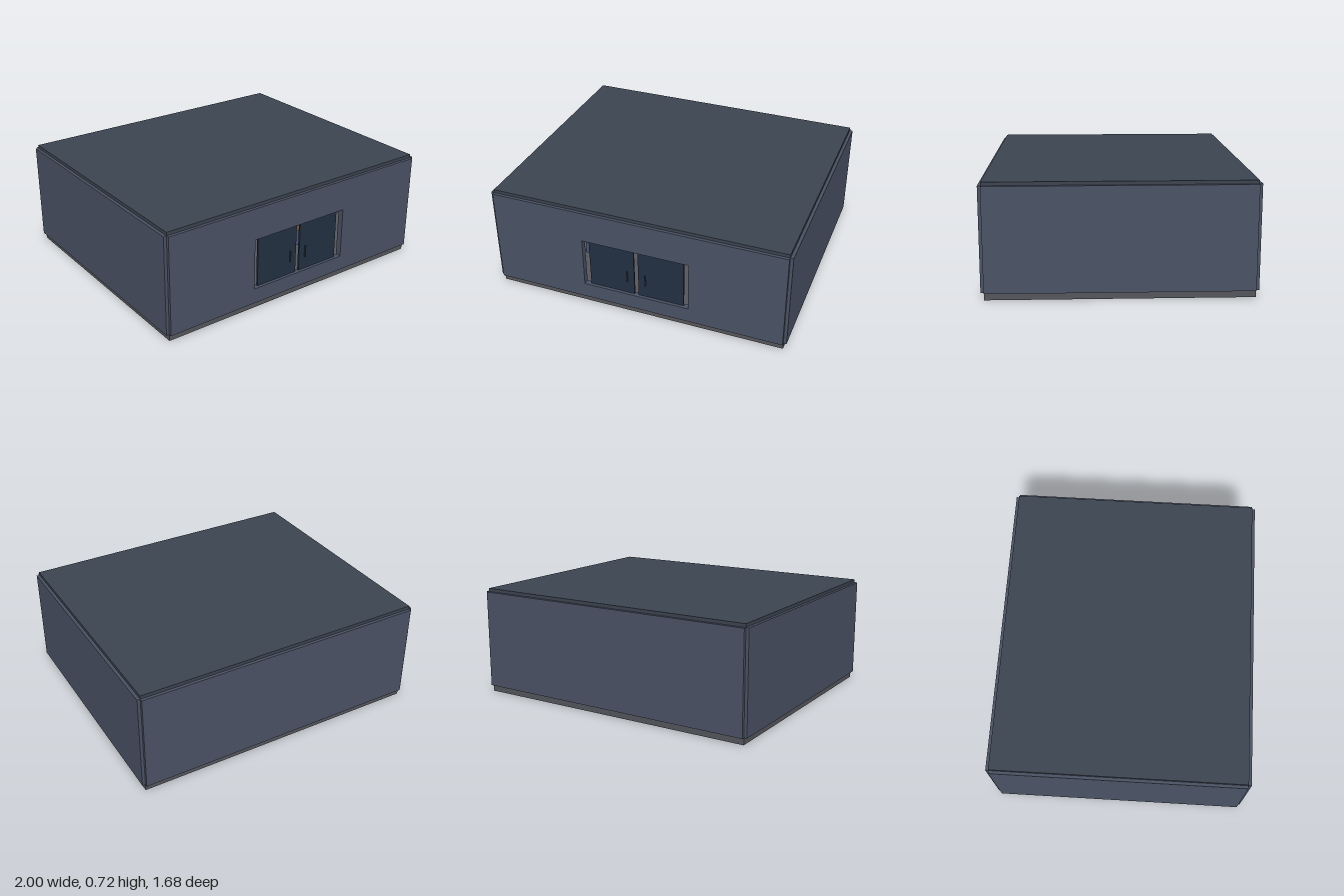
import * as THREE from 'three';

const material = (color) => new THREE.MeshStandardMaterial({ color });

export function createModel() {
  const model = new THREE.Group();
  model.name = 'building';

  const wallMat = material(0x4a5264);
  const roofMat = material(0x3c4450);
  const floorMat = material(0x55565c);
  const doorMat = material(0x223042);
  const handleMat = material(0x2f3a48);
  const woodMat = material(0x8a5a3c);
  const panelMat = material(0x4a5578);
  const purpleMat = material(0x6a3fa0);
  const darkMat = material(0x30343c);

  // Box given by its centre in x and z, its bottom in y and its size
  function box(name, mat, w, h, d, x, y, z, parent = model) {
    const mesh = new THREE.Mesh(new THREE.BoxGeometry(w, h, d), mat);
    mesh.name = name;
    mesh.position.set(x, y + h / 2, z);
    parent.add(mesh);
    return mesh;
  }

  const W = 0.98, D = 0.82, T = 0.04;    // half width, half depth, wall thickness
  const base = 0.045, top = 0.7;         // bottom and top of the walls

  // Floor slab and roof slab stop at the middle of the walls
  box('floor', floorMat, 2 * W, base, 2 * D, 0, 0, 0);
  box('roof', roofMat, 2 * W, 0.022, 2 * D, 0, top, 0);

  // Side and back walls, leaving a small notch at each corner
  for (const [name, s] of [['leftWall', 1], ['rightWall', -1]])
    box(name, wallMat, T, top - base, 2 * D, s * W, base, 0);
  box('backWall', wallMat, 2 * W, top - base, T, 0, base, -D);

  // Front wall with the entrance opening
  const front = new THREE.Shape([
    new THREE.Vector2(-W, base), new THREE.Vector2(W, base),
    new THREE.Vector2(W, top), new THREE.Vector2(-W, top),
  ]);
  const x0 = 0.36, y0 = 0.148, y1 = 0.49;
  front.holes.push(new THREE.Path([
    new THREE.Vector2(-x0, y0), new THREE.Vector2(-x0, y1),
    new THREE.Vector2(x0, y1), new THREE.Vector2(x0, y0),
  ]));
  const frontWall = new THREE.Mesh(
    new THREE.ExtrudeGeometry(front, { depth: T, bevelEnabled: false }), wallMat);
  frontWall.name = 'frontWall';
  frontWall.position.z = D - T / 2;
  model.add(frontWall);

  // Pair of doors with upright handles, narrow gaps around them
  for (const [side, s] of [['left', 1], ['right', -1]]) {
    const door = new THREE.Group();
    door.name = side + 'Door';
    box(side + 'DoorPanel', doorMat, 0.308, y1 - y0, 0.012, s * 0.168, y0, D - 0.006, door);
    box(side + 'DoorHandle', handleMat, 0.008, 0.08, 0.008, s * 0.062, 0.235, D + 0.004, door);
    model.add(door);
  }

  // Furnishings glimpsed through the gaps
  const interior = new THREE.Group();
  interior.name = 'interior';
  box('backPanel', panelMat, 1.2, 0.275, 0.03, 0, base, -0.55, interior);
  for (const [side, s] of [['left', 1], ['right', -1]]) {
    box(side + 'CounterBody', panelMat, 0.3, 0.12, 0.2, s * 0.42, base, 0.3, interior);
    box(side + 'CounterTop', woodMat, 0.32, 0.035, 0.22, s * 0.42, 0.165, 0.3, interior);
  }
  box('leftCounterScreen', purpleMat, 0.08, 0.08, 0.02, 0.37, 0.2, 0.3, interior);
  box('rightCounterScreen', darkMat, 0.08, 0.08, 0.02, -0.375, 0.2, 0.3, interior);
  box('hangingSign', darkMat, 0.3, 0.1, 0.02, -0.48, 0.39, -0.3, interior);
  model.add(interior);

  return model;
}
